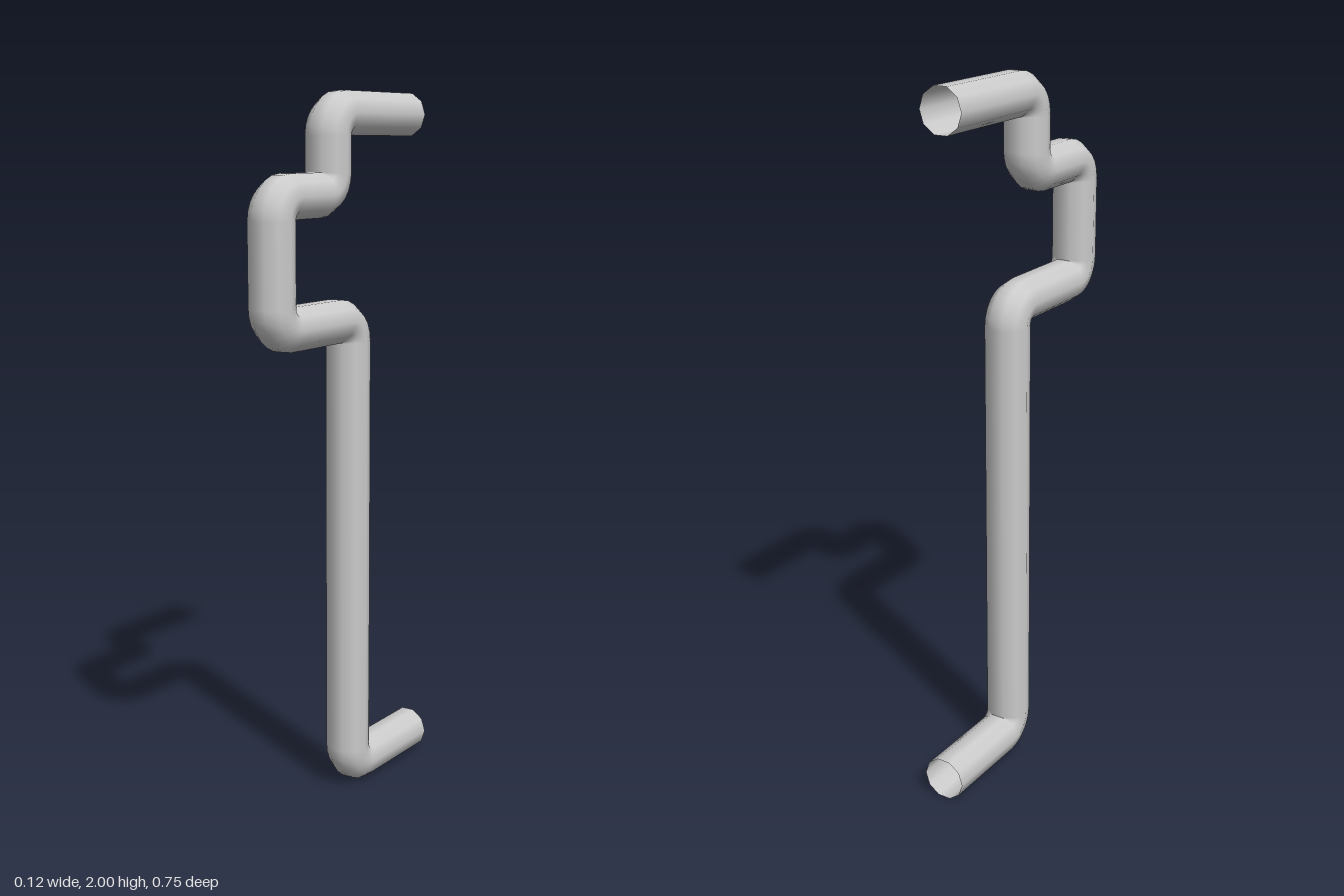
import * as THREE from 'three';

const SIDES = 10, RADIUS = 0.0625, BEND = 0.06, BEND_STEPS = 6;

// Centre line corners as [y, z], from the upper open end to the lower one
const CORNERS = [
  [1.94, -0.335], [1.94, 0.06], [1.725, 0.06], [1.725, 0.316],
  [1.38, 0.316], [1.38, -0.036], [0.06, -0.036], [0.06, -0.375],
].map(([y, z]) => new THREE.Vector3(0, y, z));

// Stations along the centre line: a round arc at each corner, straight runs between
function bentPath(corners) {
  const dirs = corners.slice(1).map((c, i) => c.clone().sub(corners[i]).normalize());
  const stations = [{ p: corners[0], t: dirs[0] }];
  for (let i = 1; i < corners.length - 1; i++) {
    const u = dirs[i - 1], v = dirs[i];
    const centre = corners[i].clone().addScaledVector(u, -BEND).addScaledVector(v, BEND);
    for (let k = 0; k <= BEND_STEPS; k++) {
      const a = (k / BEND_STEPS) * Math.PI / 2, c = Math.cos(a), s = Math.sin(a);
      stations.push({
        p: centre.clone().addScaledVector(v, -BEND * c).addScaledVector(u, BEND * s),
        t: u.clone().multiplyScalar(c).addScaledVector(v, s),
      });
    }
  }
  stations.push({ p: corners[corners.length - 1], t: dirs[dirs.length - 1] });
  return stations;
}

// Open tube: one ring of points square to the path at every station
function pipeGeometry(stations) {
  const positions = [], normals = [], index = [];
  const side = new THREE.Vector3(1, 0, 0);
  stations.forEach(({ p, t }, i) => {
    const up = new THREE.Vector3().crossVectors(t, side);
    for (let j = 0; j < SIDES; j++) {
      const a = (j / SIDES) * Math.PI * 2;
      const n = side.clone().multiplyScalar(Math.cos(a)).addScaledVector(up, Math.sin(a));
      normals.push(n.x, n.y, n.z);
      n.multiplyScalar(RADIUS).add(p);
      positions.push(n.x, n.y, n.z);
      if (i === 0) continue;
      const next = (j + 1) % SIDES, lo = (i - 1) * SIDES, hi = i * SIDES;
      index.push(lo + j, lo + next, hi + j, lo + next, hi + next, hi + j);
    }
  });
  const geometry = new THREE.BufferGeometry();
  geometry.setAttribute('position', new THREE.Float32BufferAttribute(positions, 3));
  geometry.setAttribute('normal', new THREE.Float32BufferAttribute(normals, 3));
  geometry.setIndex(index);
  return geometry;
}

export function createModel() {
  const group = new THREE.Group();
  group.name = 'bentPipe';
  const material = new THREE.MeshStandardMaterial({ color: 0xcccccc, side: THREE.DoubleSide });
  const pipe = new THREE.Mesh(pipeGeometry(bentPath(CORNERS)), material);
  pipe.name = 'pipe';
  group.add(pipe);
  return group;
}
